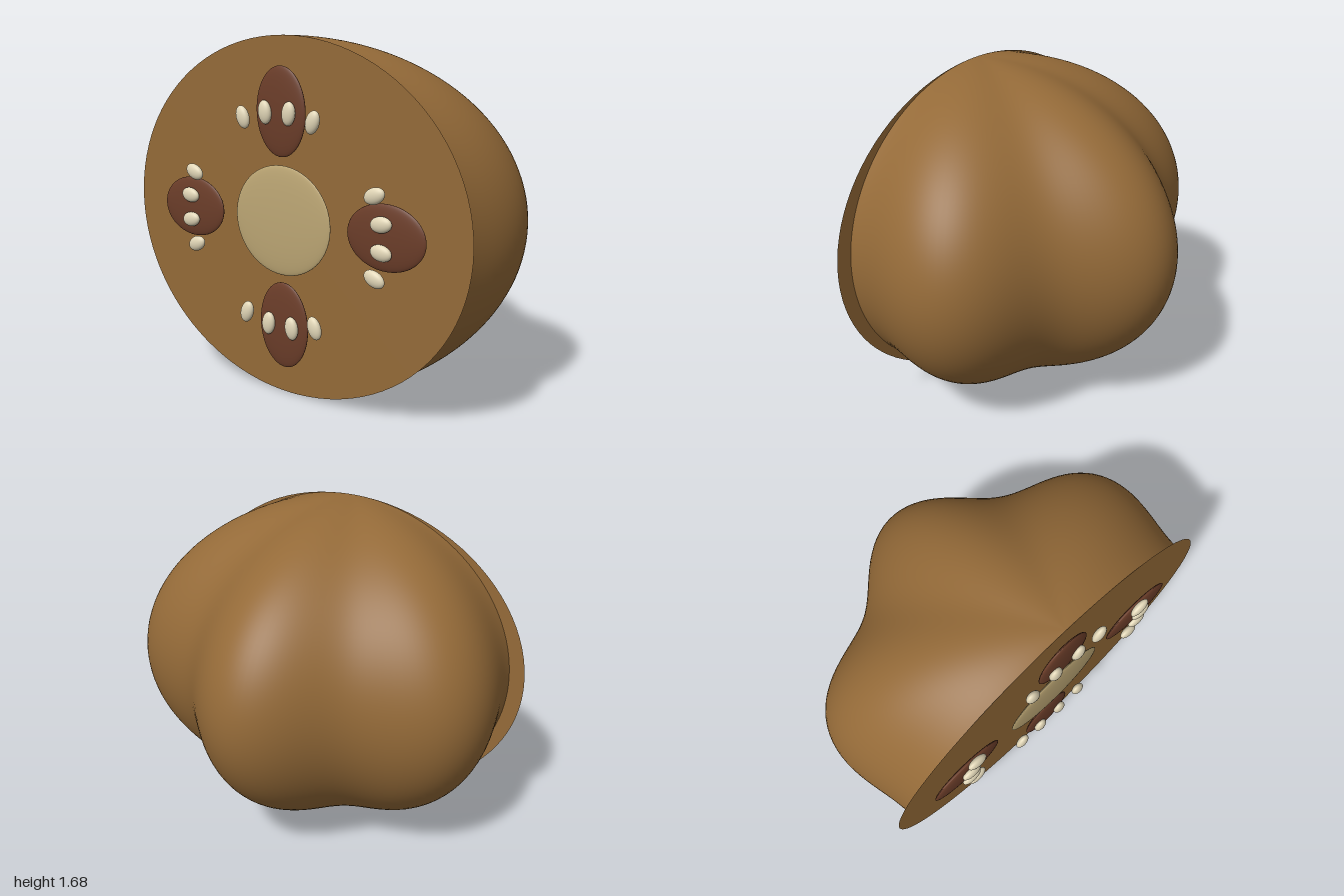
import * as THREE from 'three';

const material = (name, color, extra = {}) => {
  const m = new THREE.MeshStandardMaterial({ color, ...extra });
  m.name = name;
  return m;
};

const CUT_X = -0.55, MID_Y = 0.845, HALF_Y = 0.84;

export function createModel() {
  const model = new THREE.Group();
  model.name = 'halvedFruit';
  const skin = material('skinBrown', 0x946a38, { side: THREE.DoubleSide });
  const chamber = material('chamberDarkBrown', 0x6b3d29);
  const core = material('coreTan', 0xbca674);
  const seed = material('seedCream', 0xe0d5b6);

  const add = (name, geometry, mat, x, y, z) => {
    const mesh = new THREE.Mesh(geometry, mat);
    mesh.name = name;
    mesh.position.set(x, y, z);
    model.add(mesh);
    return mesh;
  };

  // Half body: a half sphere whose horizontal radius swells into lobes
  const body = new THREE.SphereGeometry(1, 96, 64, Math.PI / 2, Math.PI);
  const p = body.attributes.position;
  for (let i = 0; i < p.count; i++) {
    const x = p.getX(i), z = p.getZ(i);
    const swell = 1 + 0.08 * Math.cos(6 * Math.atan2(z, x));
    p.setXYZ(i, x * 1.083 * swell, p.getY(i) * HALF_Y, z * swell);
  }
  body.computeVertexNormals();
  add('lobedBody', body, skin, CUT_X, MID_Y, 0);

  // Flat cut face, slightly wider than the body
  const face = new THREE.CircleGeometry(1, 96).rotateY(-Math.PI / 2).scale(1, HALF_Y, 1);
  add('cutFace', face, skin, CUT_X, MID_Y, 0);

  // Flattened core in the middle
  const ball = new THREE.SphereGeometry(1, 40, 28);
  add('core', ball, core, -0.577, MID_Y, 0).scale.set(0.02, 0.257, 0.288);

  // Four seed chambers, each with an arc of four seeds
  for (let i = 0; i < 4; i++) {
    const a = i * Math.PI / 2;
    const upright = i % 2 === 1;
    const place = (t) => [MID_Y + 0.5 * Math.sin(t), 0.585 * Math.cos(t)];
    add('seedChamber', ball, chamber, -0.573, ...place(a))
      .scale.set(0.022, upright ? 0.206 : 0.147, upright ? 0.147 : 0.206);
    for (let j = 0; j < 4; j++) {
      const t = a + (j - 1.5) * 0.245;
      const s = add('seed', ball, seed, -0.602, ...place(t));
      s.scale.set(0.022, 0.036, 0.055);
      s.rotation.x = -t;
    }
  }
  return model;
}
